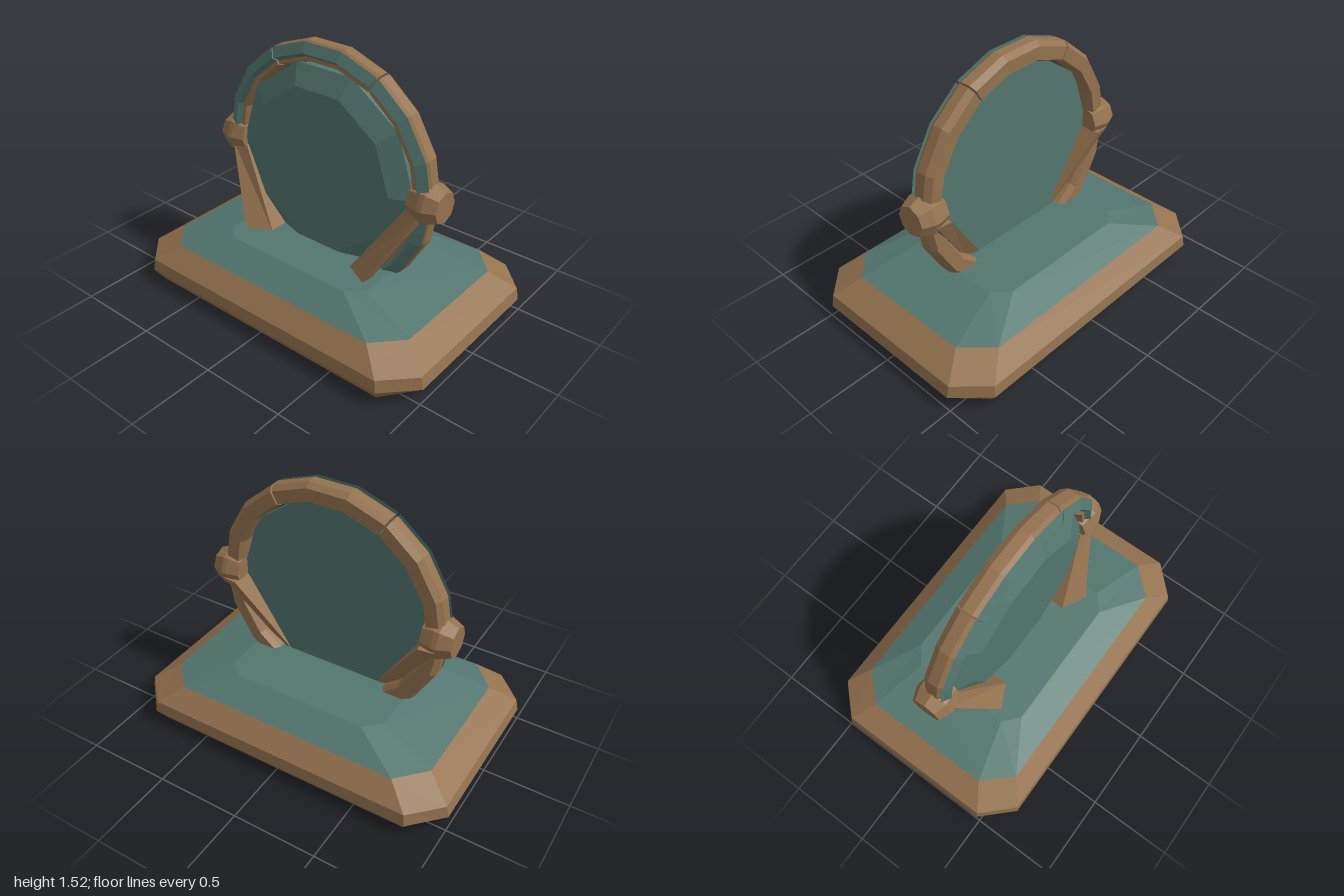
import * as THREE from 'three';

const makeMaterial = (name, color) => {
  const material = new THREE.MeshStandardMaterial({ color });
  material.name = name;
  return material;
};
const wood = makeMaterial('wood brown', 0x94724f);
const darkWood = makeMaterial('dark brown', 0x684f36);
const teal = makeMaterial('dull teal', 0x53766f);

// Skins a list of equal-length convex loops, caps both ends, faceted normals.
// With two materials, the second one paints the side numbered accentSide.
function loft(name, loops, material, accentSide = -1) {
  const plain = [], accent = [];
  const n = loops[0].length;
  for (let i = 0; i + 1 < loops.length; i++) {
    for (let j = 0; j < n; j++) {
      const k = (j + 1) % n;
      const [a, b, c, d] = [loops[i][j], loops[i][k], loops[i + 1][k], loops[i + 1][j]];
      (j === accentSide ? accent : plain).push([a, b, c], [a, c, d]);
    }
  }
  const first = loops[0], last = loops[loops.length - 1];
  for (let j = 1; j + 1 < n; j++) {
    plain.push([first[0], first[j + 1], first[j]], [last[0], last[j], last[j + 1]]);
  }
  const tris = [...plain, ...accent];
  // Turn the faces outward if the loops ran the other way round
  let volume = 0;
  for (const [a, b, c] of tris) {
    volume += new THREE.Vector3(...a).dot(new THREE.Vector3(...b).cross(new THREE.Vector3(...c)));
  }
  if (volume < 0) tris.forEach((t) => t.reverse());
  const geometry = new THREE.BufferGeometry();
  geometry.setAttribute('position', new THREE.Float32BufferAttribute(tris.flat(2), 3));
  geometry.computeVertexNormals();
  if (accent.length) {
    geometry.addGroup(0, plain.length * 3, 0);
    geometry.addGroup(plain.length * 3, accent.length * 3, 1);
  }
  const mesh = new THREE.Mesh(geometry, material);
  mesh.name = name;
  return mesh;
}

// Rectangle with cut corners: half sizes hx, hz; corner points at cx, cz
const octagon = (y, hx, hz, cx, cz) => [
  [hx, y, -cz], [hx, y, cz], [cx, y, hz], [-cx, y, hz],
  [-hx, y, cz], [-hx, y, -cz], [-cx, y, -hz], [cx, y, -hz],
];

const CENTRE_Y = 0.82;

// Sweeps an (r, z) section along angles measured in degrees from the top
const sweep = (section, angles) => angles.map((deg) => {
  const a = THREE.MathUtils.degToRad(deg);
  return section.map(([r, z]) => [r * Math.sin(a), CENTRE_Y + r * Math.cos(a), z]);
});

// Ten-sided loop facing z
const decagon = (r, z) => Array.from({ length: 10 }, (_, i) => {
  const a = (i + 0.5) * Math.PI / 5;
  return [r * Math.sin(a), CENTRE_Y + r * Math.cos(a), z];
});

// Eight-sided loop facing x
const knobLoop = (x, r) => Array.from({ length: 8 }, (_, i) => {
  const a = i * Math.PI / 4;
  return [x, 0.817 + r * Math.cos(a), r * Math.sin(a)];
});

export function createModel() {
  const model = new THREE.Group();
  model.name = 'standingDisc';

  // Stepped base with a dark underside and a teal top
  const foot = octagon(0.004, 0.942, 0.602, 0.8, 0.42);
  const rim = octagon(0.255, 0.84, 0.545, 0.69, 0.385);
  model.add(loft('baseUnderside', [octagon(0, 0.94, 0.6, 0.8, 0.42), foot], darkWood));
  model.add(loft('baseBody', [
    foot,
    octagon(0.083, 1, 0.655, 0.83, 0.48),
    octagon(0.153, 0.985, 0.647, 0.82, 0.48),
    rim,
  ], wood));
  model.add(loft('baseTop', [rim, octagon(0.345, 0.5, 0.375, 0.405, 0.295)], teal));

  // Bevelled disc
  model.add(loft('disc', [decagon(0.607, 0), decagon(0.607, 0.05), decagon(0.484, 0.11)], teal));

  // Frame in three pieces, each a wooden hoop with a ridged teal front trim
  const hoopSection = [
    [0.715, -0.03], [0.715, 0.03], [0.69, 0.062], [0.612, 0.062],
    [0.598, 0.03], [0.598, -0.03], [0.615, -0.065], [0.69, -0.065],
  ];
  const trimSection = [[0.714, 0.058], [0.657, 0.087], [0.632, 0.058]];
  const arm = [30.45, 50, 70, 90, 110, 130, 150];
  const pieces = { top: [-29.55, -10, 10, 29.55], left: arm, right: arm.map((a) => -a) };
  for (const [side, angles] of Object.entries(pieces)) {
    model.add(loft(side + 'Hoop', sweep(hoopSection, angles), wood));
    model.add(loft(side + 'Trim', sweep(trimSection, angles), teal));
  }

  // Side knobs, and slanted struts whose outer side is teal
  const knob = [knobLoop(0.585, 0.1), knobLoop(0.66, 0.12), knobLoop(0.69, 0.12), knobLoop(0.763, 0.09)];
  const strut = [
    [[0.285, 0.335, 0.18], [0.43, 0.335, 0.255], [0.44, 0.335, 0.2], [0.38, 0.335, 0.02], [0.29, 0.335, 0]],
    [[0.575, 0.78, 0.075], [0.675, 0.78, 0.085], [0.695, 0.78, 0.05], [0.68, 0.78, -0.11], [0.59, 0.78, -0.12]],
  ];
  for (const [side, s] of [['left', 1], ['right', -1]]) {
    const mirror = (loops) => loops.map((l) => l.map(([x, y, z]) => [s * x, y, z]));
    model.add(loft(side + 'Knob', mirror(knob), wood));
    model.add(loft(side + 'Strut', mirror(strut), [wood, teal], 2));
  }
  return model;
}
